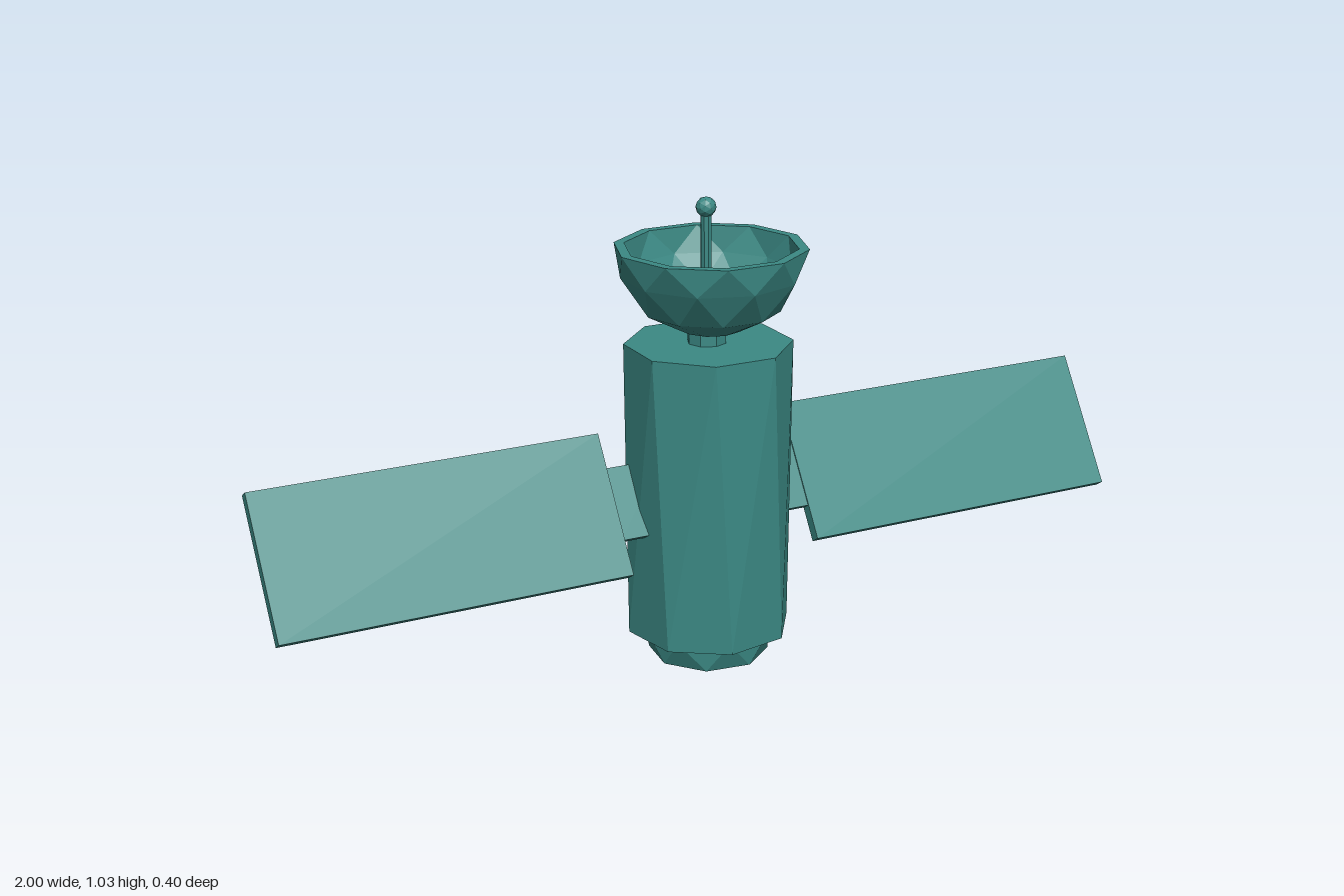
import * as THREE from 'three';

const teal = new THREE.MeshStandardMaterial({ color: 0x3b8984 });
teal.name = 'teal';

// Faceted normals for a low-poly look
function flat(geometry) {
  const g = geometry.index ? geometry.toNonIndexed() : geometry;
  g.computeVertexNormals();
  return g;
}

// Skin of triangles through rings [radius, y, turn in steps], bottom to top outside
function loft(n, rings) {
  const point = ([r, y, turn], i) => {
    const a = ((i + turn) / n) * Math.PI * 2;
    return [r * Math.sin(a), y, r * Math.cos(a)];
  };
  const positions = [];
  for (let k = 0; k < rings.length - 1; k++) {
    const low = rings[k], up = rings[k + 1];
    for (let i = 0; i < n; i++) {
      if (low[0] > 0) positions.push(...point(low, i), ...point(low, i + 1), ...point(up, i));
      if (up[0] > 0) positions.push(...point(up, i), ...point(low, i + 1), ...point(up, i + 1));
    }
  }
  const g = new THREE.BufferGeometry();
  g.setAttribute('position', new THREE.Float32BufferAttribute(positions, 3));
  return g;
}

export function createModel() {
  const model = new THREE.Group();
  model.name = 'satellite';

  function add(name, geometry, x, y, z, parent = model) {
    const mesh = new THREE.Mesh(flat(geometry), teal);
    mesh.name = name;
    mesh.position.set(x, y, z);
    parent.add(mesh);
    return mesh;
  }

  // Slightly twisted eight-sided body
  add('body', loft(8, [
    [0, 0.06, 0.75], [0.182, 0.06, 0.75], [0.182, 0.71, 1.5], [0, 0.71, 1.5],
  ]), 0, 0, -0.008);

  // Tapered base below the body
  add('base', loft(8, [
    [0, 0, 0.35], [0.132, 0, 0.35], [0.147, 0.065, 0.8], [0, 0.065, 0.8],
  ]), 0, 0, -0.01);

  // Neck carrying the dish
  add('neck', new THREE.CylinderGeometry(0.043, 0.043, 0.05, 8), -0.002, 0.725, -0.012);

  // Hollow dish: outer wall, flat rim, inner wall
  add('dish', loft(10, [
    [0, 0.737, 0], [0.065, 0.742, 0], [0.148, 0.785, 0.5], [0.193, 0.86, 1],
    [0.208, 0.922, 1.5], [0.186, 0.922, 1.5], [0.172, 0.865, 2],
    [0.13, 0.8, 2.5], [0.055, 0.762, 3], [0, 0.758, 3],
  ]), 0.002, 0, 0);

  // Antenna rising from the dish
  add('antennaMast', new THREE.CylinderGeometry(0.012, 0.012, 0.24, 8), -0.005, 0.87, -0.01);
  add('antennaTip', new THREE.IcosahedronGeometry(0.022, 1), -0.005, 1.004, -0.01);

  // Tilted solar wings on both sides
  for (const side of [1, -1]) {
    const wing = new THREE.Group();
    wing.name = side > 0 ? 'leftWing' : 'rightWing';
    wing.position.set(0, 0.375, -0.015);
    wing.rotation.x = -0.571;
    add('solarPanel', new THREE.BoxGeometry(0.775, 0.315, 0.026), side * 0.6125, 0, 0, wing);
    add('wingArm', new THREE.BoxGeometry(0.13, 0.16, 0.02), side * 0.165, 0, 0, wing);
    model.add(wing);
  }
  return model;
}
